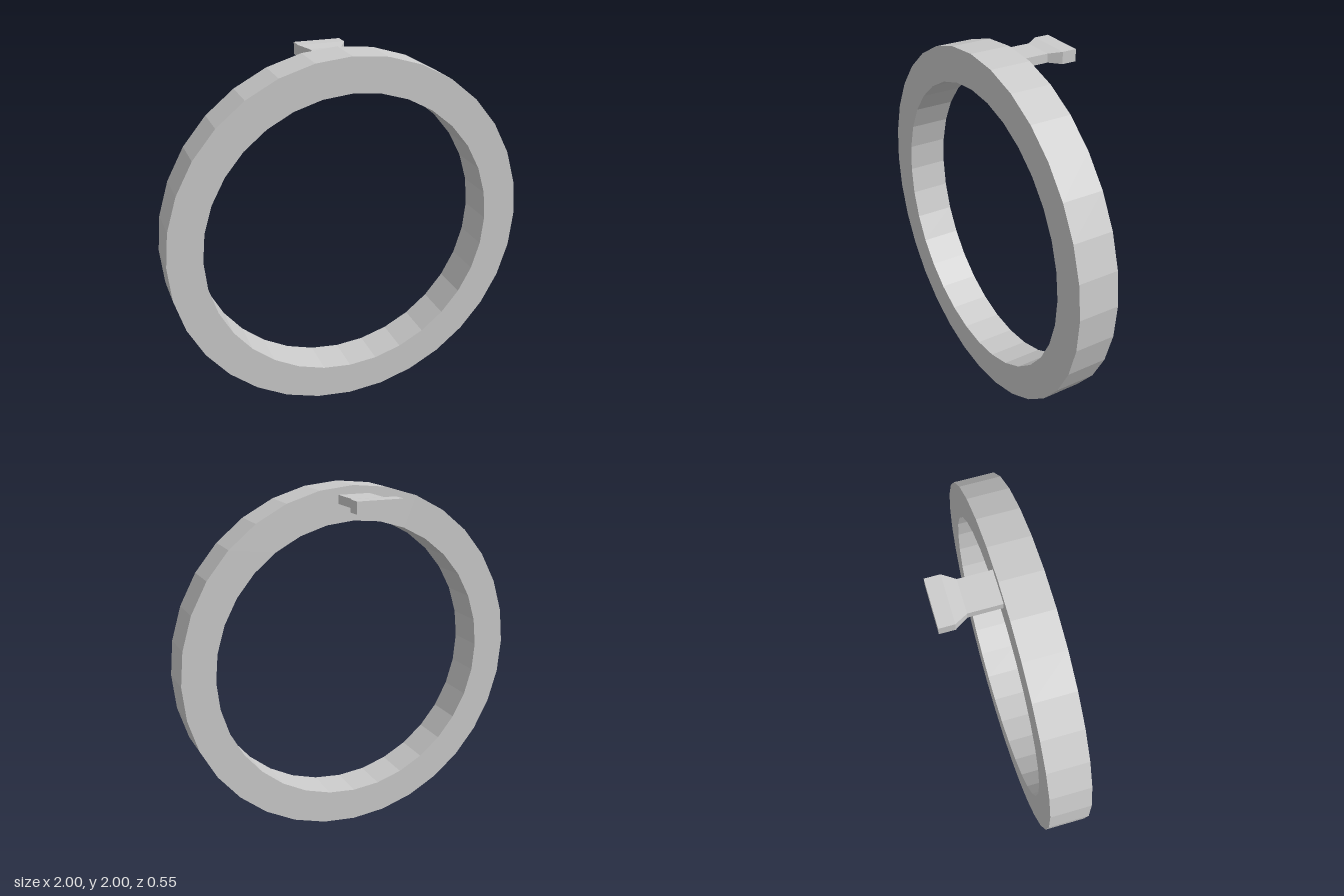
import * as THREE from 'three';

const material = new THREE.MeshStandardMaterial({ color: 0xcccccc, flatShading: true });

// Flat-sided hoop with a rectangular section, its axis along z
function makeRing(outer, inner, back, front) {
  const profile = [[inner, back], [outer, back], [outer, front], [inner, front], [inner, back]]
    .map(([r, h]) => new THREE.Vector2(r, h));
  const geometry = new THREE.LatheGeometry(profile, 32);
  geometry.rotateX(Math.PI / 2);
  return new THREE.Mesh(geometry, material);
}

// Loft through rectangles { z, w, h } running from front to back, capped at both ends
function makeLoft(sections) {
  const positions = [];
  const index = [];
  for (const { z, w, h } of sections) {
    positions.push(-w, -h, z, w, -h, z, w, h, z, -w, h, z);
  }
  for (let s = 0; s < sections.length - 1; s++) {
    for (let i = 0; i < 4; i++) {
      const a = s * 4 + i, b = s * 4 + (i + 1) % 4;
      index.push(a, a + 4, b, b, a + 4, b + 4);
    }
  }
  const e = (sections.length - 1) * 4;
  index.push(0, 1, 2, 0, 2, 3, e, e + 2, e + 1, e, e + 3, e + 2);
  const geometry = new THREE.BufferGeometry();
  geometry.setAttribute('position', new THREE.Float32BufferAttribute(positions, 3));
  geometry.setIndex(index);
  const flat = geometry.toNonIndexed();
  flat.computeVertexNormals();
  return new THREE.Mesh(flat, material);
}

export function createModel() {
  const model = new THREE.Group();
  model.name = 'ringWithTab';

  const ring = makeRing(1, 0.81, 0.05, 0.272);
  ring.name = 'ring';
  ring.position.y = 1;
  model.add(ring);

  // Tab at the top of the ring: a thin neck flaring into a wider grip
  const tab = makeLoft([
    { z: 0.05, w: 0.091, h: 0.024 },
    { z: -0.125, w: 0.091, h: 0.024 },
    { z: -0.192, w: 0.131, h: 0.033 },
    { z: -0.273, w: 0.131, h: 0.033 },
  ]);
  tab.name = 'tab';
  tab.position.set(-0.002, 1.929, 0);
  model.add(tab);

  return model;
}
